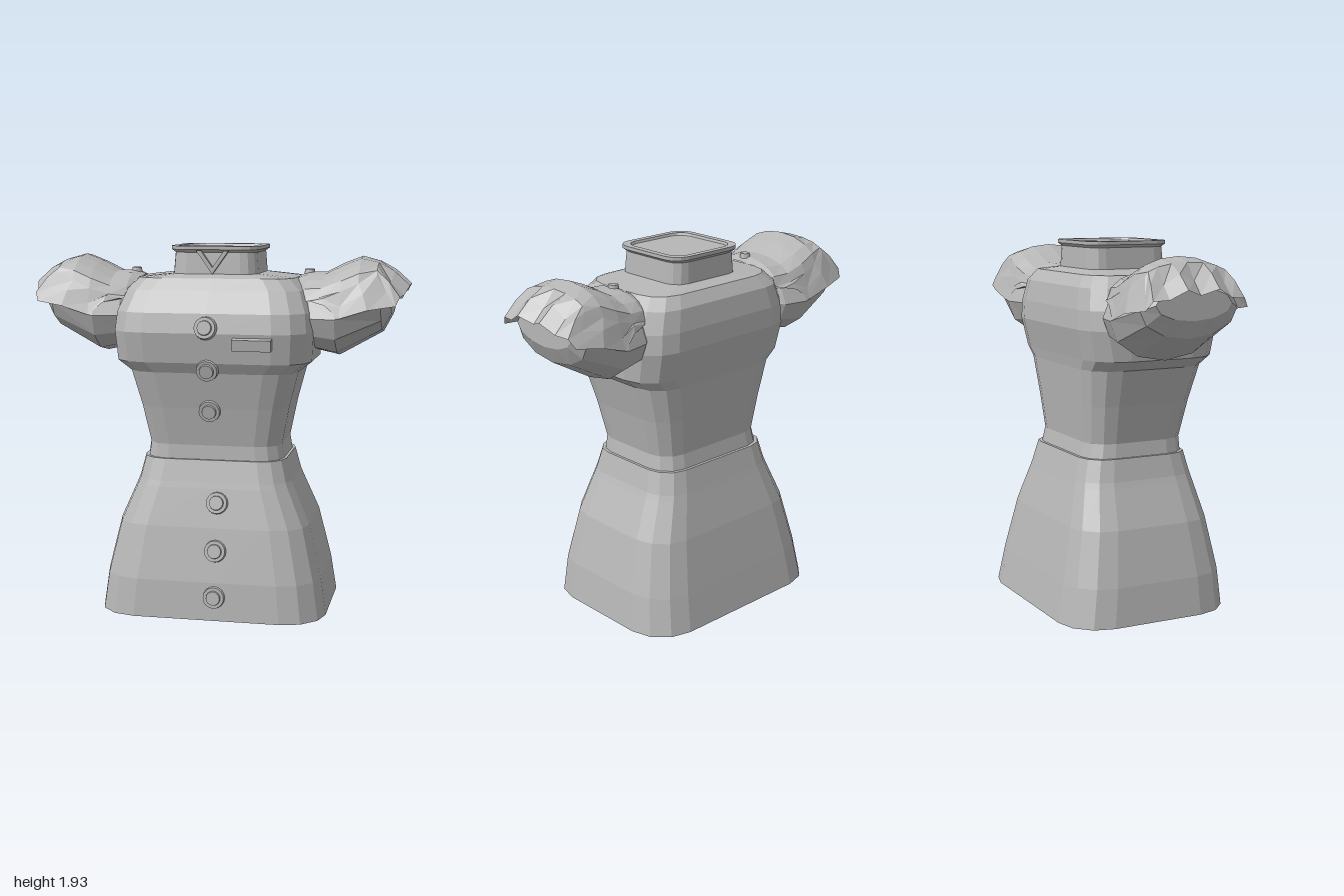
import * as THREE from 'three';

const grey = new THREE.MeshStandardMaterial({ color: 0xb6b6b6, flatShading: true, side: THREE.DoubleSide });
grey.name = 'grey cloth';

// Joins rings of [x, y, z] points; optional caps and closing of each ring.
function loft(rings, { closed = true, capStart = false, capEnd = false } = {}) {
  const n = rings[0].length, pos = rings.flat(2), idx = [];
  const last = closed ? n : n - 1;
  for (let i = 0; i < rings.length - 1; i++)
    for (let j = 0; j < last; j++) {
      const k = (j + 1) % n, a = i * n + j, b = i * n + k;
      idx.push(a, b, b + n, a, b + n, a + n);
    }
  const cap = (base, flip) => {
    for (let j = 1; j < n - 1; j++)
      flip ? idx.push(base, base + j + 1, base + j) : idx.push(base, base + j, base + j + 1);
  };
  if (capStart) cap(0, true);
  if (capEnd) cap((rings.length - 1) * n, false);
  const g = new THREE.BufferGeometry();
  g.setAttribute('position', new THREE.Float32BufferAttribute(pos, 3));
  g.setIndex(idx);
  g.computeVertexNormals();
  return g;
}

// Rounded rectangle seen from above, from front centre round and back again.
function section([y, hx, zf, zb], gap = 0, inset = 0) {
  const r = hx * 0.36, w = hx - inset, f = zf - inset, b = zb + inset;
  const pts = [[gap, y, f]];
  [[1, f], [1, b], [-1, b], [-1, f]].forEach(([s, z], c) => {
    const cx = s * (w - r), cz = z === f ? f - r : b + r;
    for (let k = 0; k <= 3; k++) {
      const a = (c + k / 3) * Math.PI / 2;
      pts.push([cx + r * Math.sin(a), y, cz + r * Math.cos(a)]);
    }
  });
  pts.push([-gap, y, f]);
  return pts;
}

function add(parent, name, geo) {
  const m = new THREE.Mesh(geo, grey);
  m.name = name;
  parent.add(m);
  return m;
}

function button(parent, name, x, y, z, tilt) {
  const g = new THREE.Group();
  g.name = name;
  add(g, 'buttonDisc', new THREE.CylinderGeometry(0.055, 0.06, 0.035, 16));
  add(g, 'buttonCentre', new THREE.CylinderGeometry(0.036, 0.04, 0.02, 16)).position.y = 0.02;
  g.position.set(x, y, z);
  g.rotation.x = Math.PI / 2 + tilt;
  parent.add(g);
}

// Puffed sleeve, shoulder cap and flounce on the +x side.
function makeShoulder(name) {
  const g = new THREE.Group();
  g.name = name;

  // Sleeve rings: x, bottom, top, half depth
  const sleeve = [[0.42, 1.45, 1.72, 0.2], [0.5, 1.39, 1.75, 0.28], [0.635, 1.36, 1.78, 0.31],
    [0.865, 1.49, 1.78, 0.27], [0.912, 1.58, 1.74, 0.21]].map(([x, b, t, d]) =>
    Array.from({ length: 12 }, (_, k) => {
      const a = k / 12 * Math.PI * 2;
      return [x, (b + t) / 2 + (t - b) / 2 * Math.cos(a), d * Math.sin(a)];
    }));
  add(g, 'puffSleeve', loft(sleeve, { capStart: true, capEnd: true }));

  // Cap arches: x, crown height, rim height, half depth
  const arches = [[0.42, 1.775, 1.66, 0.2], [0.47, 1.795, 1.67, 0.235], [0.56, 1.795, 1.68, 0.255],
    [0.66, 1.845, 1.71, 0.265], [0.75, 1.88, 1.75, 0.255], [0.84, 1.855, 1.79, 0.23]].map(([x, t, r, d]) =>
    Array.from({ length: 9 }, (_, k) => {
      const a = (0.5 - k / 8) * Math.PI;
      return [x, r + (t - r) * Math.cos(a), d * Math.sin(a)];
    }));
  add(g, 'shoulderCap', loft(arches, { closed: false }));
  const lining = add(g, 'shoulderCapLining', loft(arches, { closed: false }));
  lining.position.y = -0.018;

  // Flounce between the cap rim and a wavy hem
  const front = arches.slice(1, 5).map(r => r[0]);
  const back = arches.slice(1, 5).map(r => r[8]).reverse();
  const rim = [...front, ...arches[5], ...back];
  const half = [[0.5, 1.66, 0.265], [0.58, 1.64, 0.285], [0.66, 1.575, 0.31], [0.8, 1.62, 0.315],
    [0.94, 1.64, 0.28], [0.96, 1.685, 0.25], [0.975, 1.69, 0.17], [1, 1.735, 0.085]];
  const hem = [...half, [0.97, 1.705, 0], ...half.map(([x, y, z]) => [x, y, -z]).reverse()];
  // Mid line is pulled in at every other point to form the folds
  const mid = rim.map((p, i) => p.map((v, c) => (v + hem[i][c]) / 2 + (c === 1 ? (i % 2 ? 0.014 : -0.008) : 0)));
  add(g, 'flounce', loft([hem, mid, rim], { closed: false }));

  const stud = add(g, 'shoulderStud', new THREE.CylinderGeometry(0.025, 0.03, 0.025, 12));
  stud.position.set(0.47, 1.797, 0);
  return g;
}

export function createModel() {
  const model = new THREE.Group();
  model.name = 'dressTorso';

  // Bodice rings: y, half width, front z, back z
  const bodice = [[0.8, 0.37, 0.3, -0.275], [0.9, 0.355, 0.295, -0.255], [1.1, 0.395, 0.335, -0.275],
    [1.29, 0.445, 0.38, -0.295], [1.345, 0.515, 0.412, -0.305], [1.5, 0.525, 0.44, -0.34],
    [1.6, 0.515, 0.42, -0.335], [1.71, 0.475, 0.345, -0.315], [1.77, 0.415, 0.3, -0.27], [1.79, 0.23, 0.25, -0.2]];
  add(model, 'bodice', loft(bodice.map(r => section(r)), { capStart: true, capEnd: true }));

  // Skirt with thickness and a front slit
  const skirt = [[0, 0.606, 0.46, -0.478], [0.2, 0.577, 0.445, -0.44], [0.48, 0.51, 0.395, -0.38],
    [0.68, 0.422, 0.348, -0.325], [0.71, 0.41, 0.34, -0.317], [0.825, 0.381, 0.312, -0.288]];
  const gap = y => (y < 0.7 ? 0.013 : 0);
  add(model, 'skirt', loft([
    ...skirt.slice().reverse().map(r => section(r, gap(r[0]), 0.016)),
    ...skirt.map(r => section(r, gap(r[0]))),
    section([0.825, 0.366, 0.297, -0.272])
  ]));

  // Stand-up collar with rim and recessed top
  const collar = [[1.775, 0.226, 0.25, -0.2], [1.9, 0.216, 0.24, -0.195], [1.915, 0.235, 0.255, -0.21],
    [1.933, 0.235, 0.255, -0.21], [1.933, 0.2, 0.222, -0.178], [1.92, 0.195, 0.217, -0.173]];
  add(model, 'collar', loft(collar.map(r => section(r)), { capEnd: true }));

  // Chevron trim on the collar
  const v = new THREE.Shape([[-0.085, 1.91], [0, 1.79], [0.085, 1.91], [0.06, 1.91], [0, 1.825], [-0.06, 1.91]]
    .map(p => new THREE.Vector2(...p)));
  add(model, 'collarChevron', new THREE.ExtrudeGeometry(v, { depth: 0.03, bevelEnabled: false })).position.z = 0.238;

  // Front buttons: x, y, z, tilt
  [[0, 1.53, 0.45, -0.15], [0, 1.31, 0.4, 0.25], [0, 1.09, 0.335, 0.2],
    [0.045, 0.61, 0.37, -0.23], [0.045, 0.365, 0.422, -0.18], [0.045, 0.125, 0.455, -0.08]]
    .forEach((b, i) => button(model, 'frontButton' + (i + 1), ...b));

  const bar = add(model, 'chestBar', new THREE.BoxGeometry(0.2, 0.058, 0.05));
  bar.position.set(0.24, 1.45, 0.45);
  bar.rotation.x = 0.15;

  // Shoulders
  model.add(makeShoulder('leftShoulder'));
  const right = makeShoulder('rightShoulder');
  right.rotation.y = Math.PI;
  model.add(right);
  return model;
}
